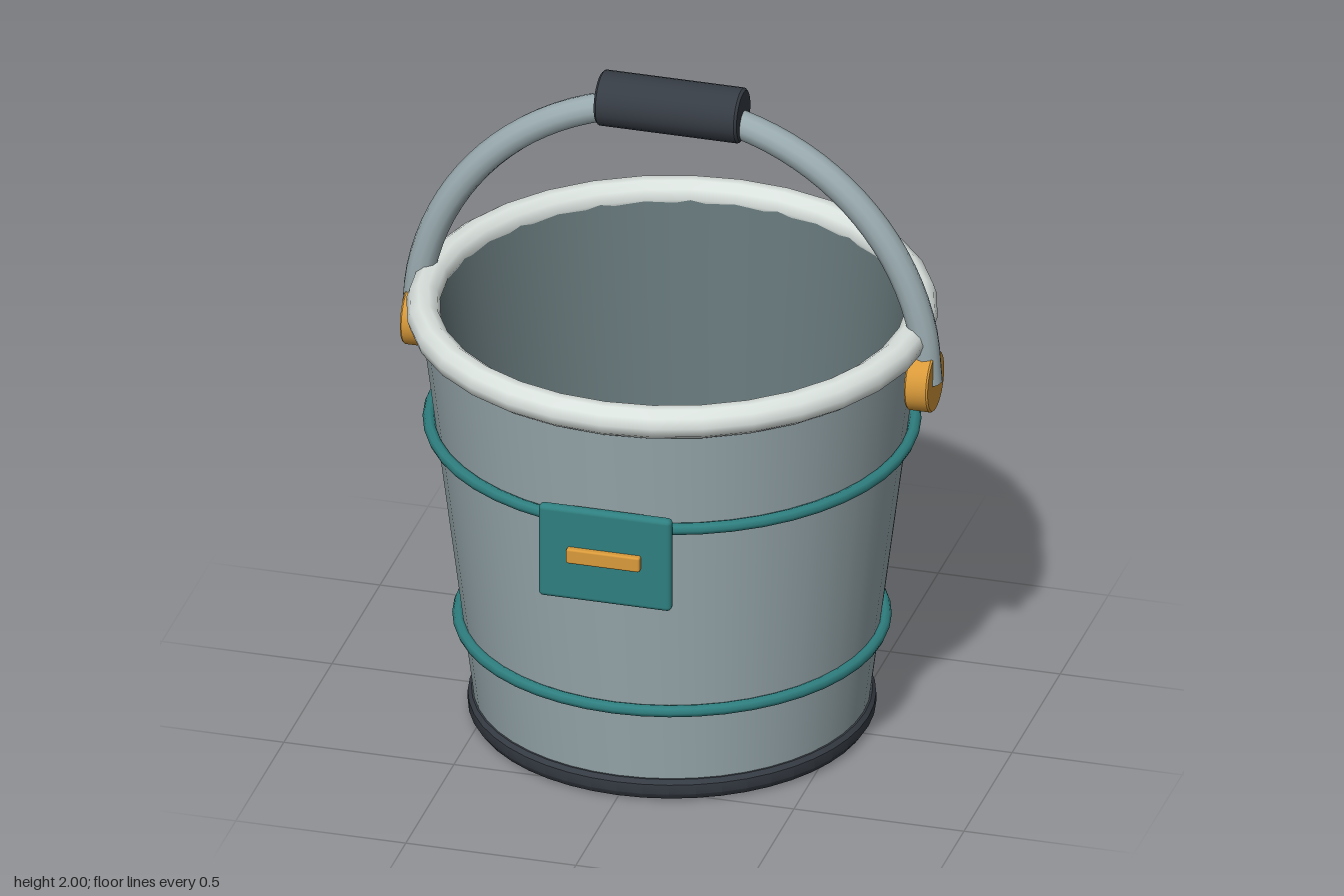
import * as THREE from 'three';
import { toCreasedNormals } from 'three/addons/utils/BufferGeometryUtils.js';
import { RoundedBoxGeometry } from 'three/addons/geometries/RoundedBoxGeometry.js';

function material(name, color, side = THREE.FrontSide) {
  const m = new THREE.MeshStandardMaterial({ color, side });
  m.name = name;
  return m;
}

// Revolved profile of [radius, y] points, smooth around and crisp at the corners
function lathe(points, segments = 48) {
  const profile = points.map(([r, y]) => new THREE.Vector2(r, y));
  return toCreasedNormals(new THREE.LatheGeometry(profile, segments), 0.6);
}

export function createModel() {
  const group = new THREE.Group();
  const steel = material('steel', 0x9aabb0);
  const inside = material('inner steel', 0x66777a, THREE.DoubleSide);
  const pale = material('pale rim', 0xdbe3df);
  const teal = material('teal', 0x2f7f80);
  const gold = material('gold', 0xd99a3a);
  const dark = material('dark rubber', 0x363c44);

  function add(name, geometry, mat, x = 0, y = 0, z = 0) {
    const mesh = new THREE.Mesh(geometry, mat);
    mesh.name = name;
    mesh.position.set(x, y, z);
    group.add(mesh);
    return mesh;
  }

  // Tapered wall with closed underside, and the lining with its floor
  add('outerWall', lathe([[0, 0.005], [0.555, 0.005], [0.715, 1.28]]), steel);
  add('lining', lathe([[0.66, 1.28], [0.5, 0.06], [0, 0.06]]), inside);

  // Rolled rim and hoops
  function ring(name, radius, tube, y, mat, sides, segments) {
    const mesh = add(name, new THREE.TorusGeometry(radius, tube, sides, segments), mat, 0, y);
    mesh.rotation.x = Math.PI / 2;
  }
  ring('rim', 0.706, 0.048, 1.28, pale, 10, 32);
  ring('upperHoop', 0.688, 0.018, 0.93, teal, 8, 48);
  ring('lowerHoop', 0.604, 0.018, 0.305, teal, 8, 48);

  // Rubber foot band
  add('footBand', lathe([[0.545, 0], [0.565, 0.006], [0.578, 0.025],
    [0.578, 0.055], [0.568, 0.068], [0.55, 0.07]]), dark);

  // Arched handle with capped ends
  const arc = [];
  for (let i = 0; i <= 16; i++) {
    const a = Math.PI * i / 16;
    arc.push(new THREE.Vector3(0.753 * Math.cos(a), 1.15 + 0.77 * Math.sin(a), 0));
  }
  const path = new THREE.CatmullRomCurve3(arc);
  add('handle', new THREE.TubeGeometry(path, 48, 0.042, 12), steel);

  for (const side of [1, -1]) {
    const cap = add('handleEnd', new THREE.CircleGeometry(0.042, 12), steel, side * 0.753, 1.15);
    cap.rotation.x = Math.PI / 2;
    // Pivot disc
    const pivot = add('pivot', lathe([[0, -0.035], [0.086, -0.035], [0.09, -0.03],
      [0.09, 0.03], [0.086, 0.035], [0, 0.035]], 32), gold, side * 0.741, 1.153);
    pivot.rotation.z = Math.PI / 2;
  }

  // Hand grip
  const grip = add('grip', lathe([[0, -0.21], [0.073, -0.21], [0.08, -0.203],
    [0.08, 0.203], [0.073, 0.21], [0, 0.21]], 24), dark, 0, 1.92);
  grip.rotation.z = Math.PI / 2;

  // Front plate with a raised bar
  add('plate', new RoundedBoxGeometry(0.39, 0.29, 0.034, 3, 0.014), teal, 0, 0.83, 0.689);
  add('plateBar', new RoundedBoxGeometry(0.216, 0.046, 0.026, 2, 0.006), gold, 0, 0.832, 0.711);

  return group;
}
